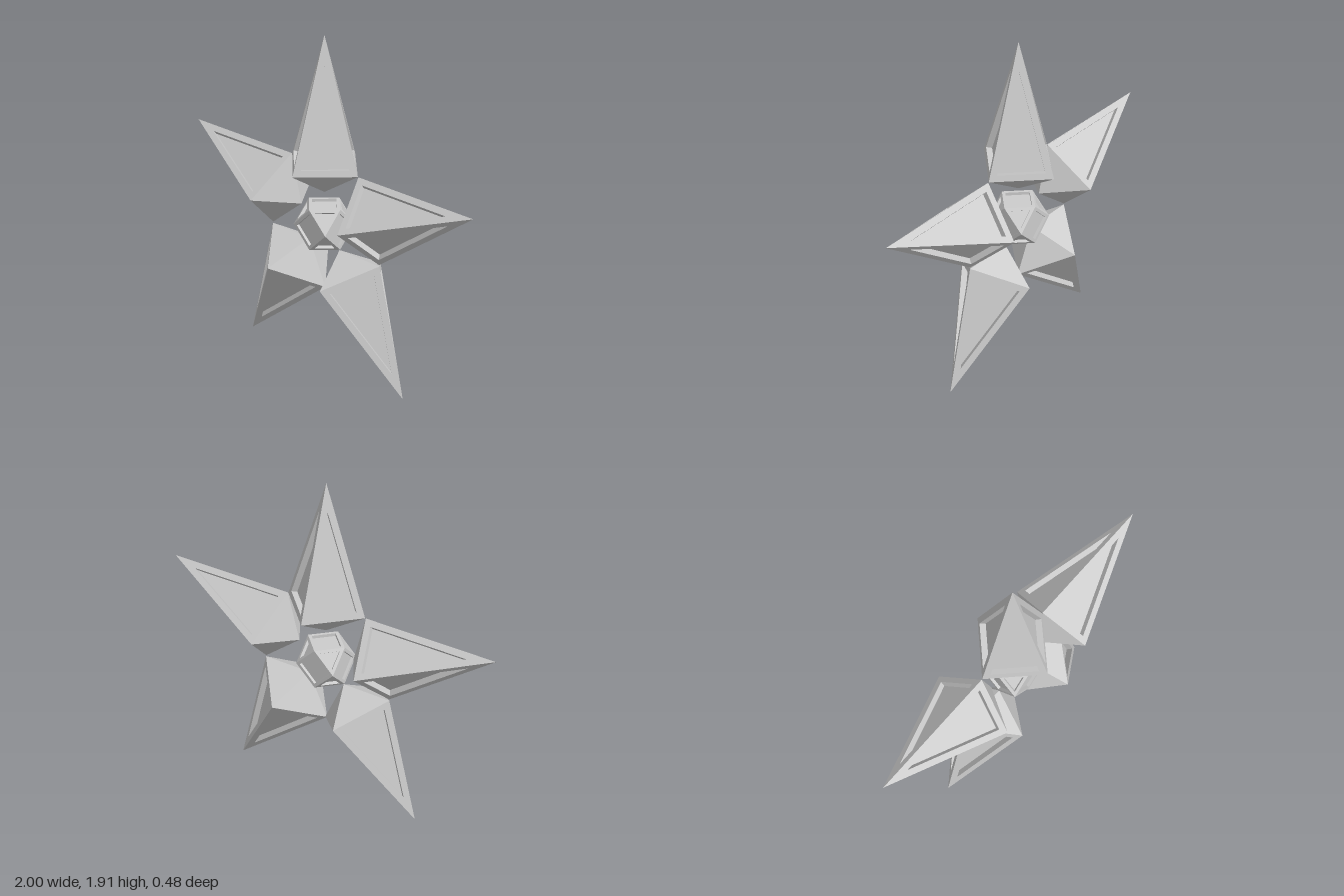
import * as THREE from 'three';

const V = (x, y, z) => new THREE.Vector3(x, y, z);
const stone = new THREE.MeshStandardMaterial({ color: 0xcccccc });
stone.name = 'light grey';

// Collects flat polygons of a solid around the origin; faces may carry a sunken panel
class Facets {
  constructor() { this.data = []; }

  polygon(pts) {
    for (let i = 1; i < pts.length - 1; i++) {
      for (const p of [pts[0], pts[i], pts[i + 1]]) this.data.push(p.x, p.y, p.z);
    }
  }

  // Turns the corner order outwards, then draws a plain face or a frame, walls and floor
  face(corners, inset = 0, depth = 0) {
    let pts = corners;
    const normalOf = (q) => q[1].clone().sub(q[0]).cross(q[2].clone().sub(q[0])).normalize();
    if (normalOf(pts).dot(pts[0]) < 0) pts = [...pts].reverse();
    if (!inset) return this.polygon(pts);
    const normal = normalOf(pts);
    const n = pts.length;
    const rim = pts.map((p, i) => {
      const a = pts[(i + 1) % n].clone().sub(p).normalize();
      const b = pts[(i + n - 1) % n].clone().sub(p).normalize();
      return p.clone().addScaledVector(a.clone().add(b), inset / Math.sin(a.angleTo(b)));
    });
    const floor = rim.map((p) => p.clone().addScaledVector(normal, -depth));
    for (let i = 0; i < n; i++) {
      const j = (i + 1) % n;
      this.polygon([pts[i], pts[j], rim[j], rim[i]]);
      this.polygon([rim[i], rim[j], floor[j], floor[i]]);
    }
    this.polygon(floor);
  }

  mesh(name) {
    const geo = new THREE.BufferGeometry();
    geo.setAttribute('position', new THREE.Float32BufferAttribute(this.data, 3));
    geo.computeVertexNormals();
    const mesh = new THREE.Mesh(geo, stone);
    mesh.name = name;
    return mesh;
  }
}

// Long spike with panelled outer faces and a short plain inner pyramid
function spike(name, x, y, degrees) {
  const half = 0.24;
  const tip = V(0, 0.715, 0);
  const inner = V(0, -0.155, 0);
  const ring = [V(half, 0, 0), V(0, 0, half), V(-half, 0, 0), V(0, 0, -half)];
  const f = new Facets();
  ring.forEach((p, i) => {
    const q = ring[(i + 1) % 4];
    f.face([tip, q, p], 0.035, 0.033);
    f.face([inner, p, q]);
  });
  const mesh = f.mesh(name);
  mesh.position.set(x, y, 0);
  mesh.rotation.z = THREE.MathUtils.degToRad(degrees - 90);
  return mesh;
}

// Cuboctahedron with a sunken panel in every face
function core() {
  const r = 0.117;
  const inset = 0.017;
  const depth = 0.017;
  const f = new Facets();
  for (const s of [-1, 1]) {
    for (let axis = 0; axis < 3; axis++) {
      const square = [[0, 1], [1, 0], [0, -1], [-1, 0]].map(([a, b]) => {
        const p = V(0, 0, 0);
        p.setComponent(axis, s * r);
        p.setComponent((axis + 1) % 3, a * r);
        p.setComponent((axis + 2) % 3, b * r);
        return p;
      });
      f.face(square, inset, depth);
    }
    for (const t of [-1, 1]) {
      for (const u of [-1, 1]) {
        f.face([V(s * r, t * r, 0), V(0, t * r, u * r), V(s * r, 0, u * r)], inset, depth);
      }
    }
  }
  const mesh = f.mesh('core');
  mesh.position.y = 0.858;
  return mesh;
}

export function createModel() {
  const model = new THREE.Group();
  model.name = 'faceted star';
  model.add(core(), spike('topSpike', 0, 1.199, 90));
  for (const [side, s] of [['left', 1], ['right', -1]]) {
    model.add(spike(side + 'UpperSpike', s * 0.32, 0.972, s > 0 ? 18.5 : 161.5));
    model.add(spike(side + 'LowerSpike', s * 0.196, 0.607, s > 0 ? -57.3 : 237.3));
  }
  return model;
}
